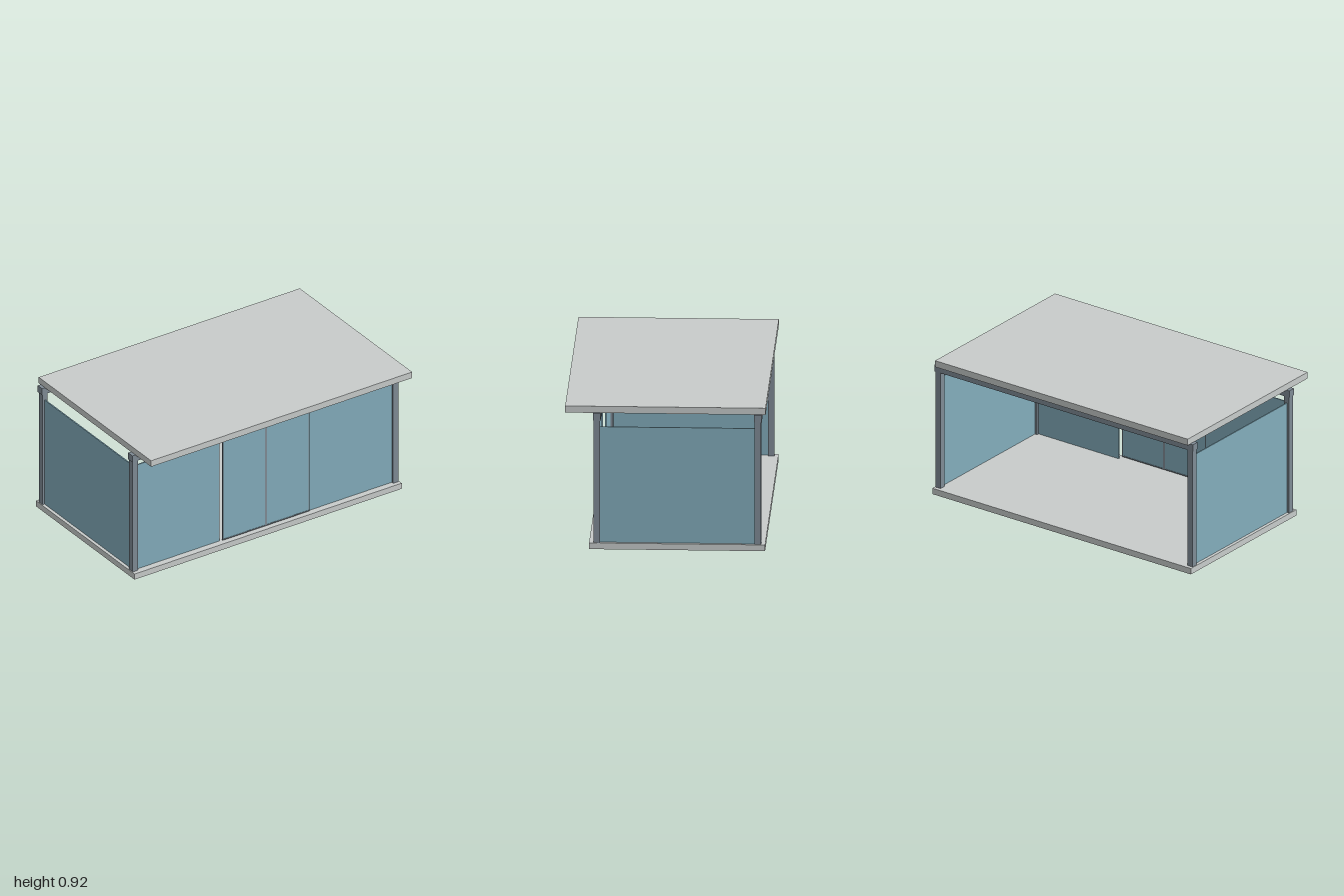
import * as THREE from 'three';

const mat = (name, color) => {
  const m = new THREE.MeshStandardMaterial({ color });
  m.name = name;
  return m;
};

export function createModel() {
  const group = new THREE.Group();
  group.name = 'glassGardenRoom';

  const slab = mat('pale grey slab', 0xc8cccb);
  const steel = mat('slate grey frame', 0x808c96);
  const glass = mat('blue glass', 0x83adbc);

  // Box given by its extents on each axis
  const box = (name, material, [x0, x1], [y0, y1], [z0, z1], parent = group) => {
    const mesh = new THREE.Mesh(new THREE.BoxGeometry(x1 - x0, y1 - y0, z1 - z0), material);
    mesh.position.set((x0 + x1) / 2, (y0 + y1) / 2, (z0 + z1) / 2);
    mesh.name = name;
    parent.add(mesh);
    return mesh;
  };
  const around = (c, half) => [c - half, c + half];

  // Floor and overhanging roof
  box('floorSlab', slab, [-1, 1], [0, 0.04], [-0.62, 0.473]);
  box('roofSlab', slab, [-0.977, 0.977], [0.874, 0.917], [-0.622, 0.622]);

  // Front and back beams with a post under each end
  for (const [side, z] of [['front', 0.425], ['back', -0.575]]) {
    box(side + 'Beam', steel, [-1, 1], [0.83, 0.876], around(z, 0.024));
    for (const s of [-1, 1]) {
      box(side + 'Post', steel, around(s * 0.975, 0.02), [0.04, 0.83], around(z, 0.02));
    }
  }

  for (const s of [-1, 1]) {
    // Fixed glass walls; the back stays open
    box('sideGlass', glass, around(s * 0.975, 0.004), [0.04, 0.786], [-0.555, 0.405]);
    box('frontGlass', glass, around(s * 0.645, 0.31), [0.04, 0.786], around(0.425, 0.004));

    // Ceiling strips
    box('ceilingStrip', steel, around(s * 0.5, 0.01), [0.867, 0.874], [-0.35, 0.402]);

    // Sliding door leaf: pane with a slim frame
    const door = new THREE.Group();
    door.name = 'slidingDoor';
    group.add(door);
    const cx = s * 0.1625, half = 0.1615, w = 0.007, z = [0.442, 0.45];
    box('doorGlass', glass, around(cx, half - w), [0.057, 0.763], around(0.446, 0.002), door);
    for (const e of [-1, 1]) {
      box('doorStile', steel, around(cx + e * (half - w / 2), w / 2), [0.05, 0.77], z, door);
    }
    box('doorBottomRail', steel, around(cx, half - w), [0.05, 0.057], z, door);
    box('doorTopRail', steel, around(cx, half - w), [0.763, 0.77], z, door);
  }

  // Track that the doors hang from
  box('doorTrack', steel, [-0.66, 0.66], [0.778, 0.803], [0.441, 0.457]);

  return group;
}
